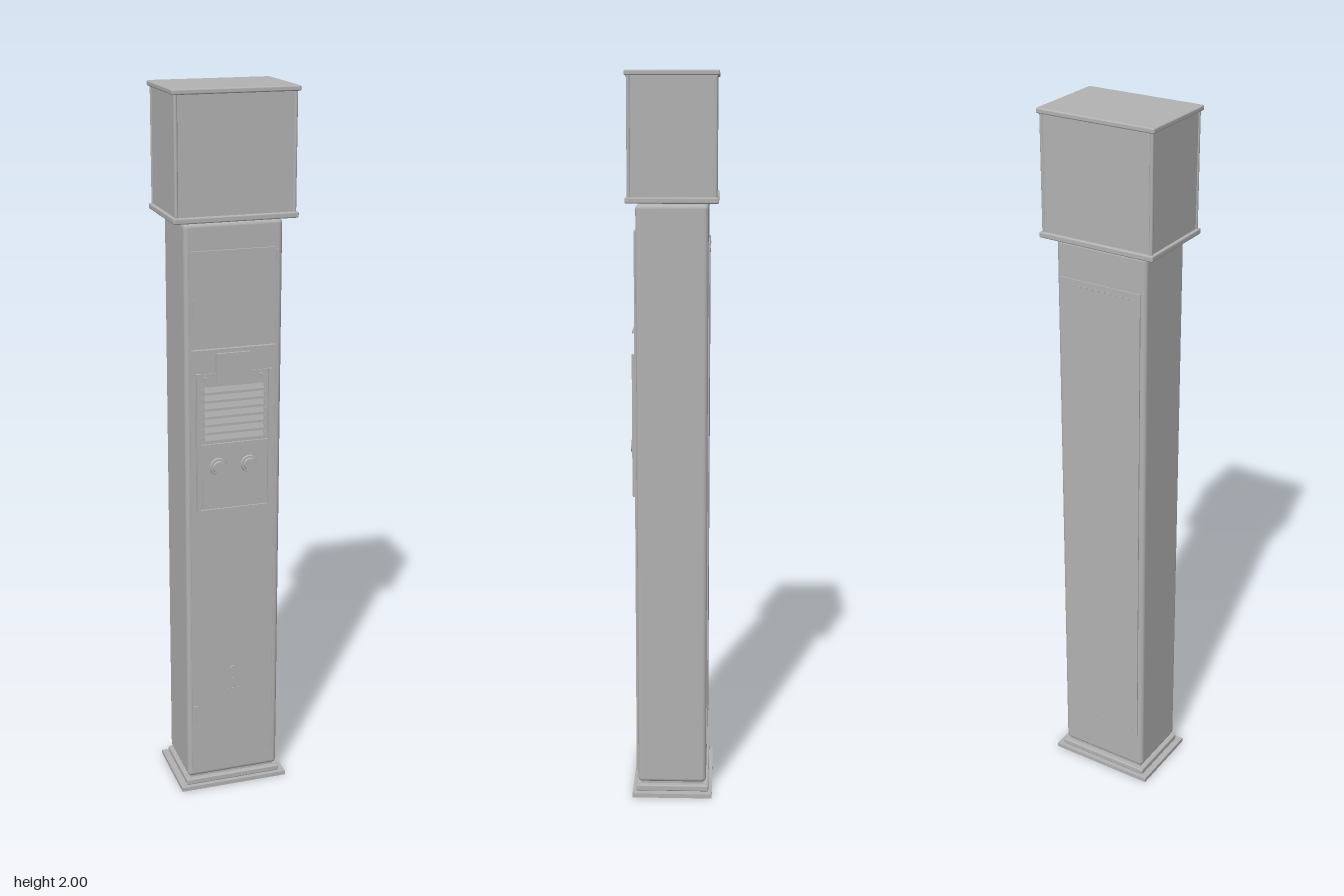
import * as THREE from 'three';
import { RoundedBoxGeometry } from 'three/addons/geometries/RoundedBoxGeometry.js';

export function createModel() {
  const root = new THREE.Group();
  root.name = 'pedestal';
  const grey = new THREE.MeshStandardMaterial({ color: 0xb2b2b2 });
  grey.name = 'painted metal grey';

  const add = (name, geometry, x, y, z, parent = root) => {
    const mesh = new THREE.Mesh(geometry, grey);
    mesh.name = name;
    mesh.position.set(x, y, z);
    parent.add(mesh);
    return mesh;
  };
  // Box given by its limits on each axis
  const box = (name, x0, x1, y0, y1, z0, z1, parent, r = 0) => {
    const size = [x1 - x0, y1 - y0, z1 - z0];
    const geo = r ? new RoundedBoxGeometry(...size, 3, r) : new THREE.BoxGeometry(...size);
    return add(name, geo, (x0 + x1) / 2, (y0 + y1) / 2, (z0 + z1) / 2, parent);
  };
  const group = (name) => {
    const g = new THREE.Group();
    g.name = name;
    root.add(g);
    return g;
  };
  // Short round part facing the front (dir 1) or the back (dir -1)
  const disc = (name, x, y, z, r, depth, parent, sides = 16, r2 = r) => {
    const geo = new THREE.CylinderGeometry(r2, r, depth, sides).rotateX(Math.PI / 2);
    return add(name, geo, x, y, z, parent);
  };

  // Stepped foot
  const foot = group('foot');
  box('footPlate', -0.158, 0.158, 0, 0.012, -0.112, 0.112, foot);
  box('footStep', -0.141, 0.141, 0.012, 0.03, -0.102, 0.102, foot, 0.004);
  box('footNeck', -0.126, 0.126, 0.03, 0.045, -0.088, 0.088, foot);

  // Column and the neck under the head
  box('column', -0.135, 0.135, 0.036, 1.66, -0.095, 0.097, root, 0.012);
  box('headNeck', -0.12, 0.12, 1.655, 1.67, -0.085, 0.085);

  // Head: inner box, four corner posts and two rims
  const head = group('head');
  box('headBox', -0.161, 0.161, 1.675, 1.992, -0.114, 0.114, head);
  for (const sx of [-1, 1]) for (const sz of [-1, 1]) {
    add('cornerPost', new THREE.CylinderGeometry(0.005, 0.005, 0.31, 12), sx * 0.159, 1.832, sz * 0.112, head);
  }
  box('lowerRim', -0.169, 0.169, 1.664, 1.68, -0.122, 0.122, head, 0.004);
  box('upperRim', -0.17, 0.17, 1.986, 2, -0.122, 0.122, head, 0.004);

  // Front doors, trim and hinges
  const door = group('frontDoor');
  box('lowerDoor', -0.123, 0.116, 0.065, 1.318, 0.096, 0.1, door);
  box('upperDoor', -0.123, 0.116, 1.326, 1.583, 0.096, 0.1, door);
  box('doorEdge', 0.116, 0.121, 0.065, 1.583, 0.096, 0.102, door);
  box('topTrim', -0.12, 0.113, 1.583, 1.588, 0.096, 0.103, door);
  box('middleTrim', -0.12, 0.115, 1.319, 1.325, 0.096, 0.108, door);
  for (const y of [0.242, 1.435]) {
    box('hinge', -0.112, -0.107, y - 0.025, y + 0.025, 0.099, 0.105, door);
  }
  box('hingeLatch', -0.122, -0.108, 0.264, 0.268, 0.099, 0.104, door);
  for (let i = 0; i < 6; i++) disc('doorRivet', -0.1 + i * 0.04, 0.078, 0.1, 0.003, 0.003, door, 8);

  // Control panel with side rails
  const panel = group('controlPanel');
  box('panelBack', -0.108, 0.106, 0.868, 1.258, 0.099, 0.103, panel);
  for (const x of [-0.102, 0.1]) {
    box('panelRail', x - 0.005, x + 0.005, 0.868, 1.26, 0.1, 0.11, panel);
  }
  box('panelBottomRail', -0.107, 0.105, 0.866, 0.872, 0.1, 0.108, panel);
  box('dialPlate', -0.092, 0.09, 0.876, 1.052, 0.1, 0.106, panel);
  box('panelDivider', -0.096, 0.094, 1.053, 1.061, 0.1, 0.109, panel);
  box('headerTab', -0.052, 0.046, 1.235, 1.312, 0.099, 0.107, panel);

  // Louvres, tilted slats with screws at both ends
  for (let i = 0; i < 7; i++) {
    const y = 1.079 + i * 0.0225;
    const slat = box('louvre', -0.084, 0.082, y - 0.008, y + 0.008, 0.102, 0.105, panel);
    slat.rotation.x = -0.28;
    for (const x of [-0.09, 0.088]) disc('louvrePin', x, y, 0.104, 0.003, 0.005, panel, 8);
  }

  // Dials and corner screws
  for (const x of [-0.046, 0.042]) {
    disc('dialCollar', x, 0.995, 0.108, 0.025, 0.006, panel, 32, 0.023);
    disc('dialKnob', x, 0.995, 0.113, 0.018, 0.007, panel, 32, 0.016);
    box('dialLabel', x - 0.012, x + 0.012, 0.938, 0.941, 0.106, 0.1065, panel);
  }
  for (const x of [-0.079, 0.077]) for (const y of [0.89, 1.245]) {
    disc('panelScrew', x, y, 0.105, 0.006, 0.006, panel, 12);
  }

  // Small lock on the lower door
  const lock = group('doorLock');
  disc('lockDisc', 0, 0.372, 0.101, 0.011, 0.006, lock, 20);
  disc('lockPin', 0, 0.34, 0.101, 0.004, 0.006, lock, 12);
  for (const x of [-0.016, 0, 0.016]) disc('lockStud', x, 0.308, 0.101, 0.004, 0.004, lock, 10);

  // Rear access panel with vent slots and rivets
  const rear = group('rearPanel');
  box('rearPlate', -0.12, 0.122, 0.15, 1.56, -0.0985, -0.094, rear);
  for (let i = 0; i < 12; i++) {
    const x = -0.1 + i * 0.0182;
    box('rearVent', x - 0.006, x + 0.006, 1.54, 1.545, -0.1, -0.098, rear);
  }
  for (let i = 0; i < 6; i++) disc('rearRivet', -0.1 + i * 0.04, 0.17, -0.099, 0.003, 0.002, rear, 8);

  return root;
}
